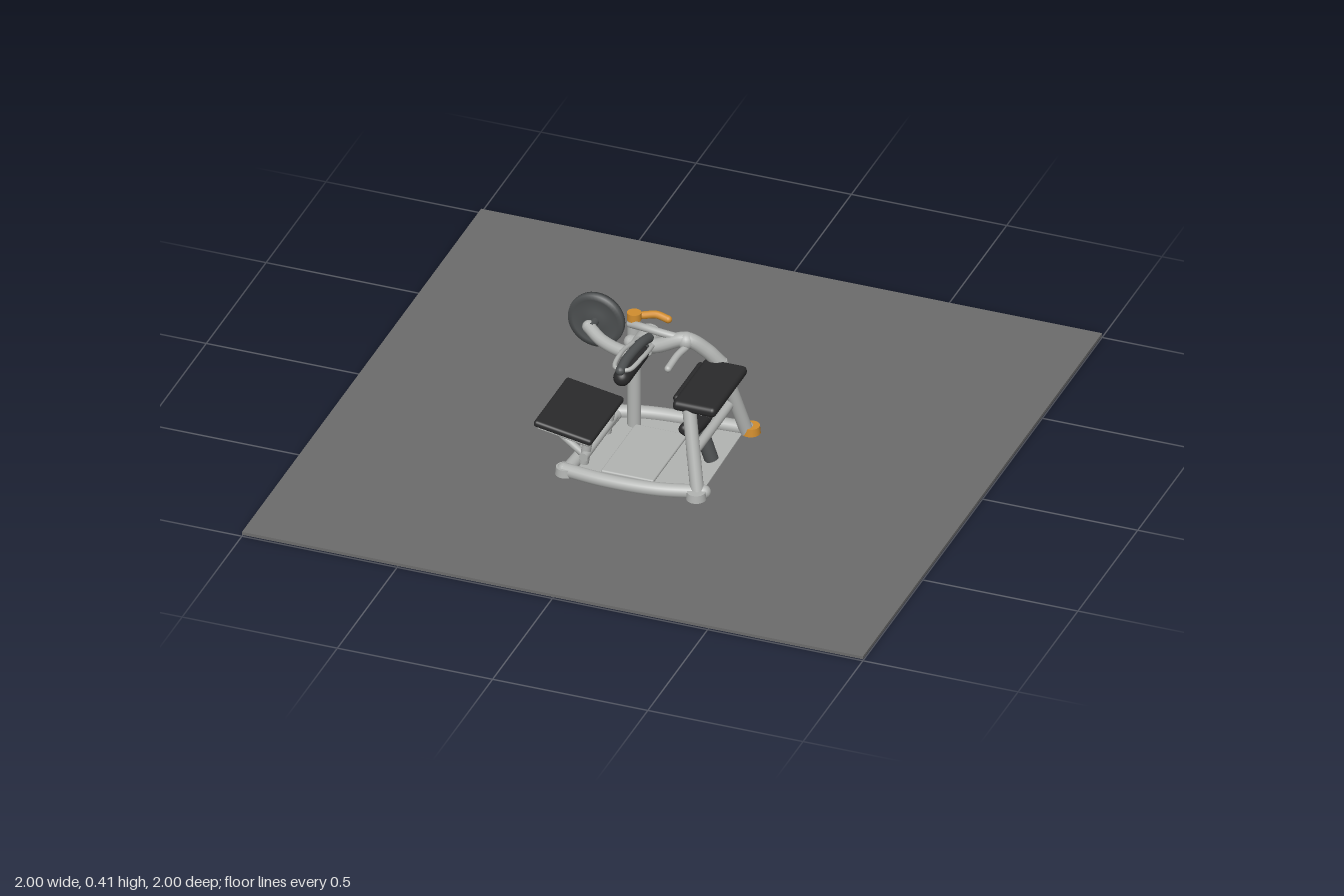
import * as THREE from 'three';
import { RoundedBoxGeometry } from 'three/addons/geometries/RoundedBoxGeometry.js';

const mat = (name, color) => Object.assign(new THREE.MeshStandardMaterial({ color }), { name });

export function createModel() {
  const root = new THREE.Group();
  const steel = mat('light grey steel', 0xb2b4b2);
  const black = mat('black upholstery', 0x2a2a2b);
  const floorGrey = mat('floor grey', 0x6c6c6c);
  const iron = mat('dark iron', 0x4c4f50);
  const orange = mat('orange', 0xd18d2e);
  const V = (p) => new THREE.Vector3(...p);

  function add(name, geometry, material, pos = [0, 0, 0], rot = [0, 0, 0]) {
    const m = new THREE.Mesh(geometry, material);
    m.name = name;
    m.position.set(...pos);
    m.rotation.set(...rot);
    root.add(m);
    return m;
  }
  // straight round bar between two points
  function bar(name, a, b, r, material = steel, r2 = r) {
    const va = V(a), vb = V(b), d = vb.clone().sub(va);
    const m = add(name, new THREE.CylinderGeometry(r2, r, d.length(), 20), material);
    m.position.copy(va).add(vb).multiplyScalar(0.5);
    m.quaternion.setFromUnitVectors(new THREE.Vector3(0, 1, 0), d.normalize());
    return m;
  }
  // bent tube with ball ends
  function bend(name, pts, r, material = steel) {
    const curve = new THREE.CatmullRomCurve3(pts.map(V), false, 'centripetal');
    add(name, new THREE.TubeGeometry(curve, 32, r, 14), material);
    for (const p of [pts[0], pts[pts.length - 1]]) add(name + 'End', new THREE.SphereGeometry(r, 14, 10), material, p);
  }
  const pad = (name, w, h, d, pos, rot, material = black) =>
    add(name, new RoundedBoxGeometry(w, h, d, 4, Math.min(w, h, d) * 0.45), material, pos, rot);

  // floor
  add('floor', new THREE.BoxGeometry(2, 0.01, 2), floorGrey, [0, 0.01, 0]);

  // base platform, outline in x and z
  const outline = new THREE.Shape();
  outline.moveTo(-0.24, -0.03);
  outline.lineTo(0.2, -0.09);
  outline.lineTo(0.21, 0.31);
  outline.quadraticCurveTo(0, 0.39, -0.22, 0.34);
  outline.closePath();
  const base = new THREE.ExtrudeGeometry(outline, { depth: 0.019, bevelEnabled: false });
  base.rotateX(Math.PI / 2).translate(0, 0.019, 0);
  add('basePlatform', base, steel);
  pad('stepPlate', 0.17, 0.012, 0.29, [-0.03, 0.022, 0.155], [0, 0, 0], steel);
  bend('frontBaseBeam', [[-0.22, 0.028, 0.335], [-0.08, 0.028, 0.35], [0.08, 0.028, 0.342], [0.22, 0.028, 0.305]], 0.022);
  bend('rearBaseBeam', [[-0.24, 0.028, -0.02], [-0.1, 0.028, -0.06], [0.05, 0.028, -0.075], [0.21, 0.028, -0.085]], 0.022);
  bar('sideBaseBeam', [-0.19, 0.026, -0.02], [-0.21, 0.026, 0.33], 0.02);

  // feet
  for (const [x, z, m] of [[0.22, -0.087, orange], [-0.24, -0.005, orange], [0.205, 0.33, steel], [-0.215, 0.335, steel]])
    add('foot', new THREE.CylinderGeometry(0.028, 0.032, 0.04, 24), m, [x, 0.02, z]);

  // main post
  bar('mainPost', [-0.122, 0, 0], [-0.122, 0.39, 0], 0.021);
  bar('mainPostCap', [-0.122, 0.387, 0], [-0.122, 0.412, 0], 0.022, orange);
  bend('rangeSelector', [[-0.1, 0.395, -0.02], [-0.06, 0.403, -0.025], [-0.02, 0.398, -0.02]], 0.012, orange);

  // upper frame running from the post over to the side legs
  bend('upperArm', [[-0.12, 0.325, 0.03], [-0.04, 0.335, 0.04], [0.055, 0.37, 0.025], [0.11, 0.33, 0], [0.15, 0.28, -0.02]], 0.023);
  add('armJoint', new THREE.SphereGeometry(0.028, 20, 14), steel, [0.055, 0.365, 0.025]);
  bar('pivotHub', [-0.075, 0.335, -0.02], [-0.075, 0.335, 0.06], 0.036);
  bar('pivotCap', [-0.075, 0.335, 0.055], [-0.075, 0.335, 0.065], 0.026, iron);
  bend('headBar', [[-0.13, 0.375, 0.01], [-0.08, 0.385, 0.03], [0, 0.38, 0.035], [0.05, 0.37, 0.025]], 0.012);

  // weight lever and disc
  bend('weightLever', [[-0.07, 0.305, 0.03], [-0.13, 0.292, 0.04], [-0.22, 0.295, 0.01], [-0.28, 0.31, -0.03]], 0.02);
  const disc = [[0, -0.014], [0.03, -0.014], [0.034, -0.008], [0.068, -0.008], [0.072, -0.014], [0.088, -0.012],
    [0.09, 0], [0.088, 0.012], [0.072, 0.014], [0.068, 0.008], [0.034, 0.008], [0.03, 0.014], [0, 0.014]];
  add('weightDisc', new THREE.LatheGeometry(disc.map(([r, y]) => new THREE.Vector2(r, y)), 48), iron,
    [-0.27, 0.315, -0.07], [Math.PI / 2, 0, 0]);
  bar('discPeg', [-0.27, 0.315, -0.11], [-0.27, 0.315, -0.02], 0.013, iron);
  bar('discPegTip', [-0.27, 0.315, -0.112], [-0.27, 0.315, -0.098], 0.013, orange);

  // padded roller with its handle above
  const roller = new THREE.CapsuleGeometry(0.027, 0.15, 8, 24);
  add('rollerPad', roller, black, [-0.07, 0.328, 0.16], [Math.PI / 2, 0, 0]);
  bend('rollerHandle', [[-0.055, 0.365, 0.05], [-0.06, 0.375, 0.1], [-0.07, 0.37, 0.2], [-0.07, 0.36, 0.25]], 0.015, iron);
  bend('rollerGuard', [[-0.1, 0.345, 0.06], [-0.105, 0.36, 0.15], [-0.09, 0.36, 0.24], [-0.05, 0.36, 0.24], [-0.035, 0.36, 0.15], [-0.04, 0.345, 0.06]], 0.007);
  bend('sideGrip', [[0.06, 0.35, 0.04], [0.05, 0.345, 0.08], [0.045, 0.335, 0.15]], 0.011);

  // left-hand leg frame
  bar('frontLeg', [0.15, 0.27, 0.245], [0.205, 0.02, 0.318], 0.021);
  bar('rearLeg', [0.15, 0.29, -0.015], [0.21, 0.02, -0.08], 0.021);
  bar('legTopRail', [0.15, 0.255, -0.015], [0.15, 0.255, 0.25], 0.018);
  bar('legMiddleRail', [0.17, 0.13, -0.05], [0.17, 0.13, 0.285], 0.015);

  // raised side pad
  pad('sidePad', 0.14, 0.033, 0.28, [0.17, 0.28, 0.125]);
  pad('sidePadEdge', 0.04, 0.025, 0.22, [0.105, 0.276, 0.11]);

  // lower curved pad on its bracket
  for (const [i, s] of [[0, -1], [1, 1]])
    pad('lowerPad', 0.06, 0.035, 0.135, [0.13, 0.157, 0.095 + s * 0.058], [-s * 0.13, 0, -0.45]);
  bar('lowerPadBracket', [0.11, 0.18, 0.1], [0.14, 0.125, 0.1], 0.02);
  bar('lowerPadPost', [0.17, 0.02, 0.11], [0.125, 0.15, 0.11], 0.022, iron);

  // storage peg
  bar('storagePeg', [0.14, 0.12, -0.03], [0.13, 0.125, -0.12], 0.012);
  bar('storagePegTip', [0.13, 0.125, -0.115], [0.13, 0.125, -0.142], 0.016, orange);
  bar('storagePegGrip', [0.125, 0.13, -0.14], [0.15, 0.13, -0.07], 0.012, orange);

  // seat with frame and struts
  pad('seatPad', 0.19, 0.022, 0.28, [-0.235, 0.134, 0.17], [0, 0, -0.17]);
  pad('seatFrame', 0.17, 0.012, 0.26, [-0.236, 0.119, 0.17], [0, 0, -0.17], steel);
  for (const z of [0.08, 0.27]) {
    bar('seatStrut', [-0.18, 0.025, z], [-0.165, 0.115, z], 0.015);
    bar('seatBrace', [-0.17, 0.045, z], [-0.27, 0.12, z], 0.011);
  }
  bar('seatCrossBar', [-0.17, 0.06, 0.04], [-0.17, 0.06, 0.3], 0.014);
  return root;
}
